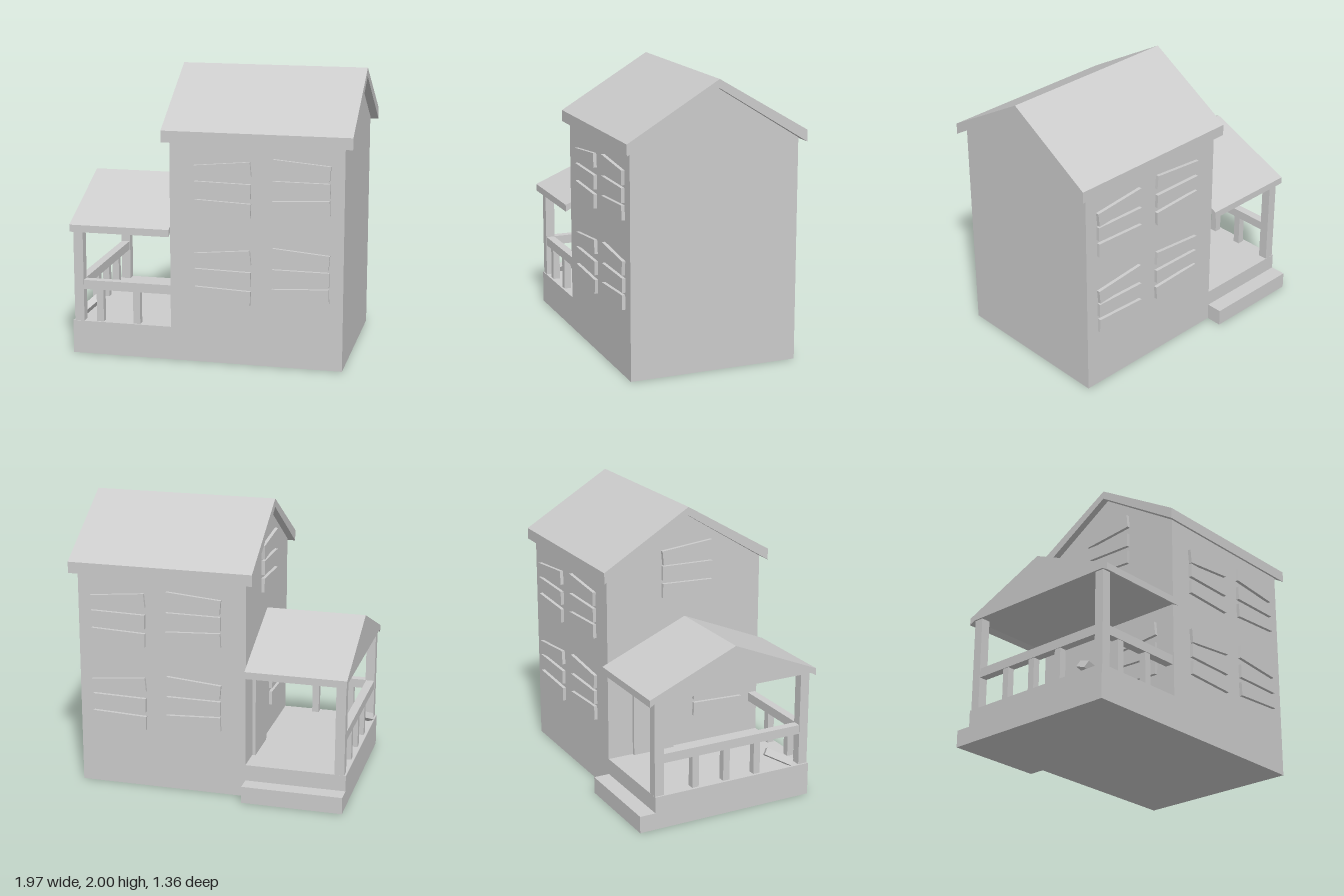
import * as THREE from 'three';

const material = new THREE.MeshStandardMaterial({ color: 0xcccccc, flatShading: true });
const CZ = 0.0375; // ridge line in z

function add(parent, name, geometry) {
  const mesh = new THREE.Mesh(geometry, material);
  mesh.name = name;
  parent.add(mesh);
  return mesh;
}

// Box given by its extents on each axis
function block(parent, name, [x0, x1], [y0, y1], [z0, z1]) {
  const mesh = add(parent, name, new THREE.BoxGeometry(x1 - x0, y1 - y0, z1 - z0));
  mesh.position.set((x0 + x1) / 2, (y0 + y1) / 2, (z0 + z1) / 2);
  return mesh;
}

// Gable outline (distance from ridge, y), extruded along x
function gable(parent, name, points, x0, x1) {
  const shape = new THREE.Shape(points.map(([d, y]) => new THREE.Vector2(d, y)));
  const geometry = new THREE.ExtrudeGeometry(shape, { depth: x1 - x0, bevelEnabled: false });
  geometry.rotateY(Math.PI / 2);
  geometry.translate(x0, 0, CZ);
  return add(parent, name, geometry);
}

// Boards over a window: [centre height, tilt]
const boardsA = [[0.747, 0.095], [0.616, -0.02], [0.486, -0.04]];
const boardsB = [[0.775, -0.085], [0.642, -0.005], [0.515, 0.05]];
function boardedWindow(parent, name, boards, x, y, z, turn) {
  const group = new THREE.Group();
  group.name = name;
  boards.forEach(([height, tilt]) => {
    const board = add(group, 'windowBoard', new THREE.BoxGeometry(0.39, 0.1, 0.024));
    board.position.set(0, height, 0.012);
    board.rotation.z = tilt;
  });
  group.position.set(x, y, z);
  group.rotation.y = turn;
  parent.add(group);
}

export function createModel() {
  const model = new THREE.Group();
  model.name = 'house';

  // House body and main roof
  gable(model, 'houseWalls',
    [[-0.6025, 0], [0.6025, 0], [0.6025, 1.562], [0, 1.94], [-0.6025, 1.562]], -0.275, 0.925);
  gable(model, 'mainRoof',
    [[-0.6425, 1.54], [0, 1.94], [0.6425, 1.54], [0.6425, 1.62], [0, 2], [-0.6425, 1.62]], -0.325, 0.98);

  // Boarded windows, front and back, two floors
  for (const y of [0, 0.61]) {
    boardedWindow(model, 'frontWindow', boardsA, 0.095, y, 0.64, 0);
    boardedWindow(model, 'frontWindow', boardsB, 0.635, y, 0.64, 0);
    boardedWindow(model, 'backWindow', boardsA, 0.635, y, -0.565, Math.PI);
    boardedWindow(model, 'backWindow', boardsB, 0.095, y, -0.565, Math.PI);
  }

  // Porch side of the house: two windows and the door
  boardedWindow(model, 'porchWindow', boardsA, -0.275, 0, 0.3, -Math.PI / 2);
  boardedWindow(model, 'gableWindow', boardsA, -0.275, 0.925, 0.05, -Math.PI / 2);
  block(model, 'door', [-0.298, -0.275], [0.235, 0.81], [-0.375, -0.06]);

  // Porch base, step and roof
  const porch = new THREE.Group();
  porch.name = 'porch';
  model.add(porch);
  block(porch, 'porchFloor', [-0.985, -0.275], [0, 0.235], [-0.565, 0.64]);
  block(porch, 'porchStep', [-0.985, -0.275], [0, 0.12], [-0.68, -0.565]);
  gable(porch, 'porchRoof',
    [[-0.6425, 0.885], [-0.6, 0.908], [0.6, 0.908], [0.6425, 0.885], [0.6425, 0.935], [0, 1.205], [-0.6425, 0.935]],
    -0.985, -0.275);

  // Corner posts
  for (const z of [-0.53, 0.6]) {
    block(porch, 'porchPost', [-0.973, -0.905], [0.235, 0.91], [z - 0.034, z + 0.034]);
  }

  // Railings with balusters
  block(porch, 'frontRail', [-0.905, -0.275], [0.465, 0.53], [0.57, 0.63]);
  block(porch, 'sideRail', [-0.97, -0.91], [0.465, 0.53], [-0.496, 0.566]);
  for (const x of [-0.79, -0.525]) {
    block(porch, 'frontBaluster', [x - 0.025, x + 0.025], [0.235, 0.465], [0.575, 0.625]);
  }
  for (const z of [-0.25, -0.01, 0.23]) {
    block(porch, 'sideBaluster', [-0.965, -0.915], [0.235, 0.465], [z - 0.025, z + 0.025]);
  }

  // Fallen baluster leaning by the corner
  const fallen = add(porch, 'fallenBaluster', new THREE.BoxGeometry(0.05, 0.2, 0.05));
  const foot = new THREE.Vector3(-0.955, 0.265, 0.5);
  const head = new THREE.Vector3(-0.88, 0.33, 0.37);
  fallen.position.copy(foot).lerp(head, 0.5);
  fallen.quaternion.setFromUnitVectors(new THREE.Vector3(0, 1, 0), head.sub(foot).normalize());

  return model;
}
